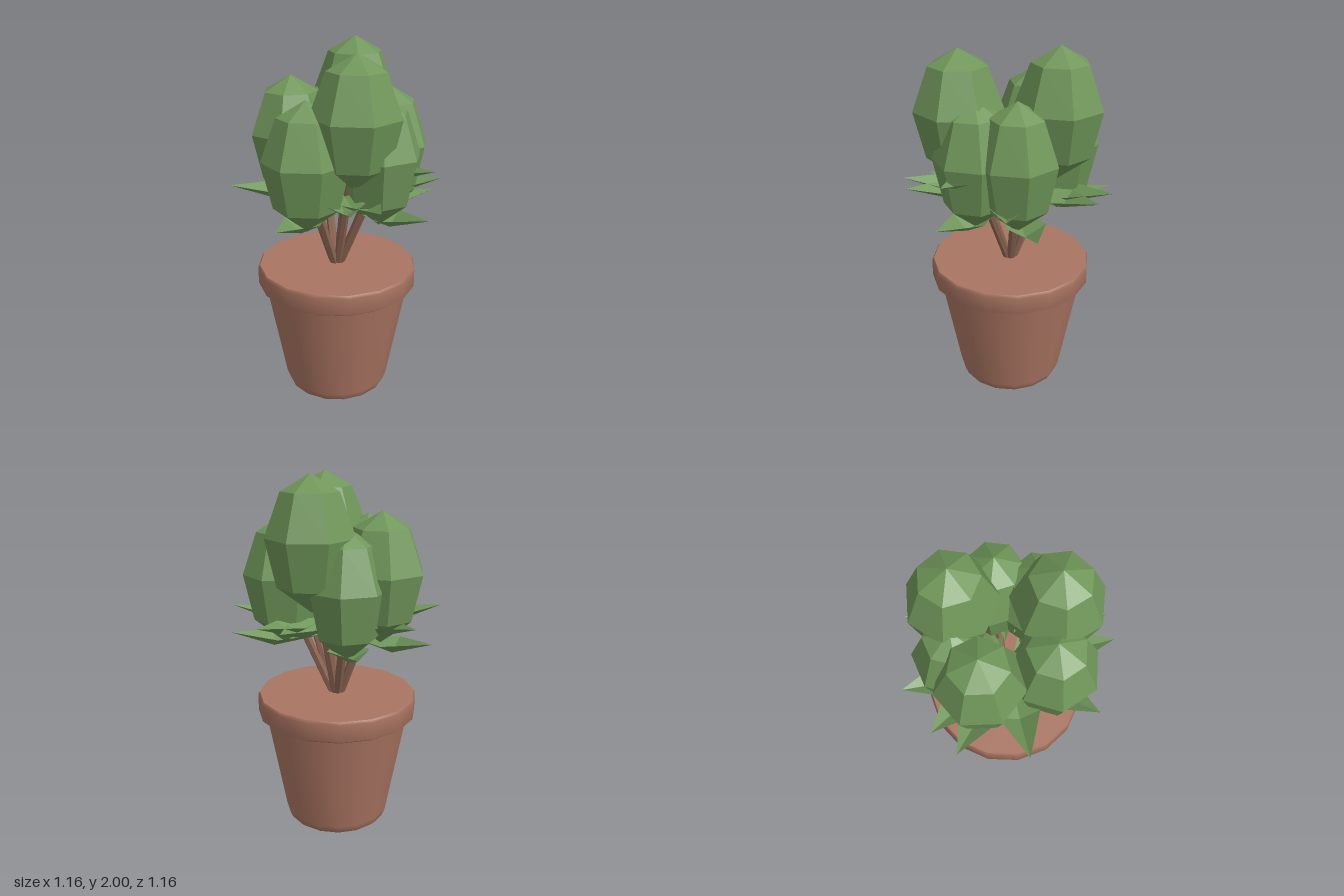
import * as THREE from 'three';

const green = new THREE.MeshStandardMaterial({ color: 0x6f9659, side: THREE.DoubleSide });
green.name = 'leaf green';
const clay = new THREE.MeshStandardMaterial({ color: 0xa97461 });
clay.name = 'terracotta';
const bark = new THREE.MeshStandardMaterial({ color: 0x8c6553 });
bark.name = 'stem brown';

const rad = THREE.MathUtils.degToRad;

function part(name, geometry, material) {
  const mesh = new THREE.Mesh(geometry, material);
  mesh.name = name;
  return mesh;
}

// Unshared corners give each face its own flat normal.
function faceted(geometry) {
  const flat = geometry.toNonIndexed();
  flat.computeVertexNormals();
  return flat;
}

function lathe(points, sides, start = 0) {
  return new THREE.LatheGeometry(points.map(([r, y]) => new THREE.Vector2(r, y)), sides, start);
}

// Seven-sided foliage bud hanging down from its tip; turn is the angle of one corner.
function budGeometry(radius, turn) {
  const profile = [[0, -0.70], [0.76, -0.56], [1, -0.31], [0.64, -0.085], [0, 0]];
  return faceted(lathe(profile.map(([r, y]) => [r * radius, y]), 7, rad(90 - turn)));
}

// Pointed leaf along +x, folded down along its middle rib.
function leafGeometry(length) {
  const base = [0.08, -0.04, 0], rib = [0.35, -0.085, 0], tip = [length, 0, 0];
  const near = [0.34, -0.025, 0.11], far = [0.34, -0.025, -0.11];
  const corners = [base, near, rib, near, tip, rib, base, rib, far, rib, tip, far];
  const geometry = new THREE.BufferGeometry();
  geometry.setAttribute('position', new THREE.Float32BufferAttribute(corners.flat(), 3));
  geometry.computeVertexNormals();
  return geometry;
}

// Round stem between two points.
function stemGeometry(from, to, radius) {
  const axis = new THREE.Vector3().subVectors(to, from);
  const geometry = new THREE.CylinderGeometry(radius, radius, axis.length(), 6, 1);
  geometry.applyQuaternion(new THREE.Quaternion().setFromUnitVectors(
    new THREE.Vector3(0, 1, 0), axis.normalize()));
  const mid = from.clone().add(to).multiplyScalar(0.5);
  return geometry.translate(mid.x, mid.y, mid.z);
}

function createPot() {
  const pot = new THREE.Group();
  pot.name = 'pot';
  const body = [[0.27, 0], [0.285, 0.012], [0.302, 0.055], [0.41, 0.65]];
  const rim = [[0.40, 0.637], [0.42, 0.64], [0.45, 0.66], [0.45, 0.755], [0.44, 0.77]];
  pot.add(part('potBody', lathe(body, 16), clay));
  pot.add(part('potRim', lathe(rim, 16), clay));

  const top = new THREE.CircleGeometry(0.44, 16).rotateX(-Math.PI / 2).translate(0, 0.77, 0);
  const base = new THREE.CircleGeometry(0.27, 16).rotateX(Math.PI / 2);
  pot.add(part('potTop', top, clay), part('potBase', base, clay));
  return pot;
}

export function createModel() {
  const model = new THREE.Group();
  model.name = 'pottedPlant';
  model.add(createPot());

  // Buds: x, z, tip height, radius, corner angle
  const buds = [
    [-0.07, -0.265, 2.00, 0.235, -2],
    [0.23, 0.147, 1.98, 0.24, 86],
    [-0.275, 0.045, 1.81, 0.235, 65],
    [0.28, 0.00, 1.76, 0.22, 0],
    [0.195, -0.21, 1.77, 0.22, -3],
    [0.02, 0.285, 1.75, 0.235, 84],
    [-0.22, -0.16, 1.74, 0.215, 185],
  ];
  const foliage = new THREE.Group();
  foliage.name = 'foliage';
  const stems = new THREE.Group();
  stems.name = 'stems';
  for (const [x, z, top, radius, turn] of buds) {
    const bud = part('bud', budGeometry(radius, turn), green);
    bud.position.set(x, top, z);
    foliage.add(bud);

    const root = new THREE.Vector3(x * 0.04, 0.74, z * 0.04);
    const end = new THREE.Vector3(x, top - 0.4, z);
    stems.add(part('stem', faceted(stemGeometry(root, end, 0.024)), bark));
  }

  // Leaves in three tiers, each with its tip height and directions
  const tiers = [
    { y: 1.15, angles: [0, -53, 217, 170, 85] },
    { y: 1.265, angles: [-90, -105, -38, 32, 47, 132, 185] },
    { y: 1.40, angles: [-5] },
  ];
  const leaves = new THREE.Group();
  leaves.name = 'leaves';
  for (const { y, angles } of tiers) {
    for (const angle of angles) {
      const leaf = part('leaf', leafGeometry(0.582), green);
      leaf.position.y = y;
      leaf.rotation.y = -rad(angle);
      leaves.add(leaf);
    }
  }

  model.add(stems, foliage, leaves);
  return model;
}
